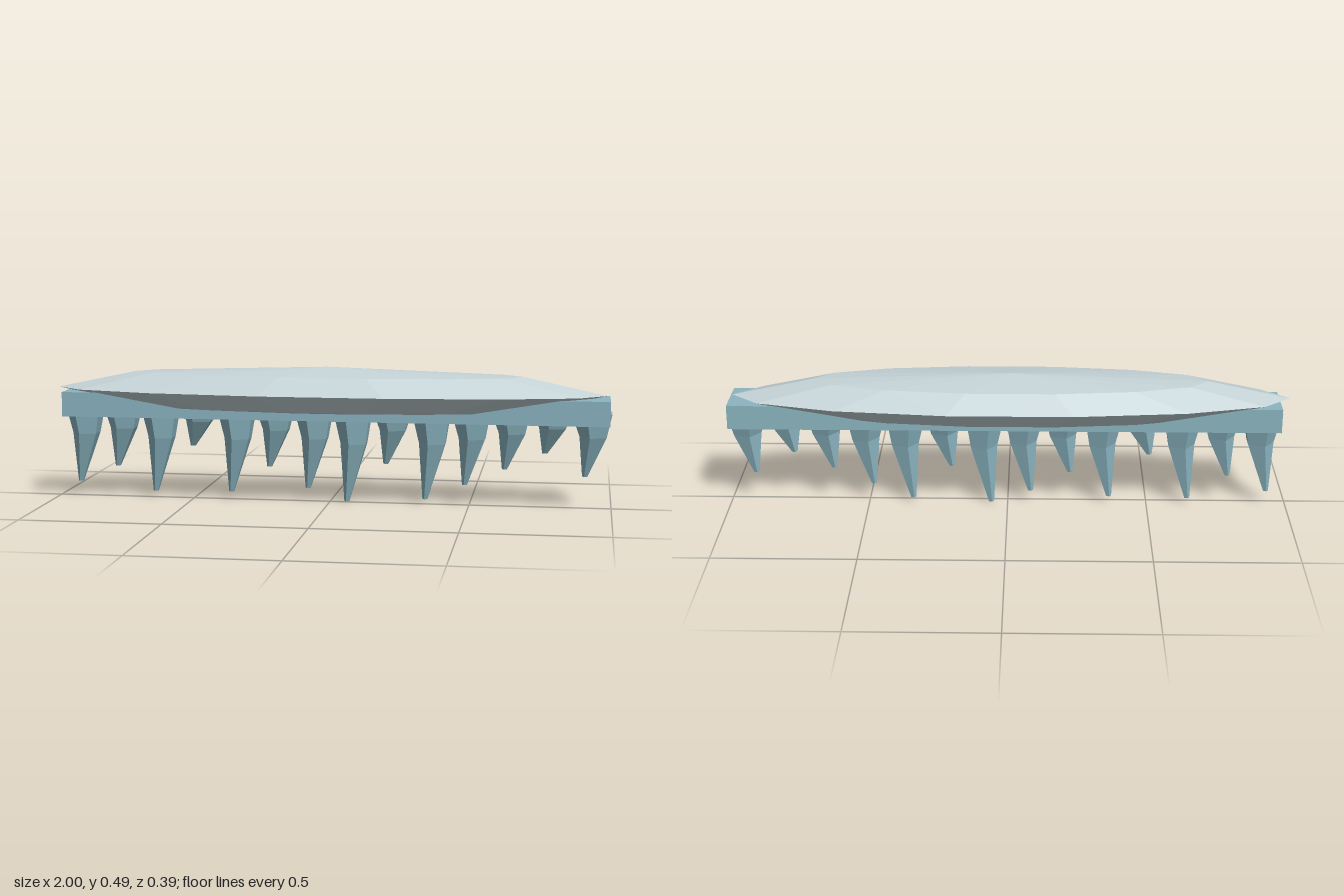
import * as THREE from 'three';

export function createModel() {
  const model = new THREE.Group();
  const snow = new THREE.MeshStandardMaterial({ color: 0xc4d2d6, flatShading: true });
  snow.name = 'paleSnow';
  const ice = new THREE.MeshStandardMaterial({ color: 0x8ab4c0, flatShading: true });
  ice.name = 'blueIce';

  const add = (name, geometry, material, parent = model) => {
    const mesh = new THREE.Mesh(geometry, material);
    mesh.name = name;
    parent.add(mesh);
    return mesh;
  };

  // Flattened faceted snow mound
  const mound = new THREE.SphereGeometry(1, 14, 4);
  mound.scale(0.99, 0.0875, 0.199);
  add('snowCap', mound, snow).position.set(-0.01, 0.4, 0);

  // Bar the icicles hang from
  add('iceLedge', new THREE.BoxGeometry(1.955, 0.088, 0.176), ice).position.set(0.0125, 0.346, 0);

  // Five-sided icicle: wide root, waist, then a long point leaning to one side
  const rootY = 0.34;
  function icicleGeometry(tipY) {
    const length = rootY - tipY;
    const rings = [
      { r: 0.01, x: -0.027, y: tipY, z: -0.018 },
      { r: 0.052, x: 0.003, y: rootY - 0.37 * length, z: 0 },
      { r: 0.078, x: 0, y: rootY, z: 0 },
    ];
    const geometry = new THREE.CylinderGeometry(1, 1, 2, 5, 2, false, -Math.PI / 2);
    const p = geometry.attributes.position;
    for (let i = 0; i < p.count; i++) {
      const ring = rings[Math.round(p.getY(i)) + 1];
      p.setXYZ(i, p.getX(i) * ring.r + ring.x, ring.y, p.getZ(i) * ring.r + ring.z);
    }
    geometry.computeVertexNormals();
    return geometry;
  }

  // Row of icicles of uneven length
  const icicles = new THREE.Group();
  icicles.name = 'icicles';
  model.add(icicles);
  const tips = [0.05, 0.11, 0.02, 0.19, 0.025, 0.12, 0.045, 0, 0.14, 0.015, 0.07, 0.13, 0.19, 0.11];
  tips.forEach((tipY, i) => {
    add('icicle', icicleGeometry(tipY), ice, icicles).position.x = -0.902 + i * 0.1412;
  });

  return model;
}
